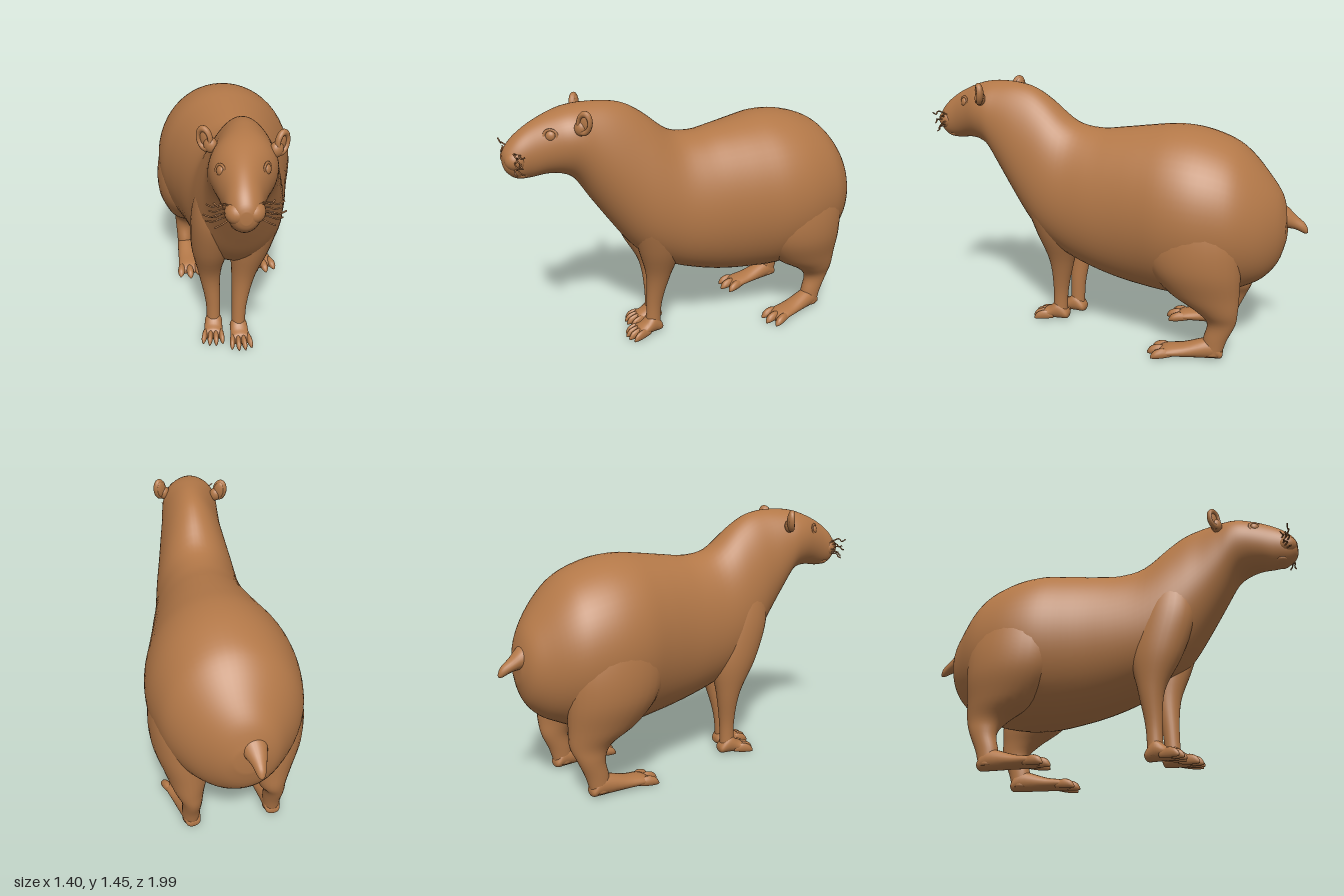
import * as THREE from 'three';

const fur = new THREE.MeshStandardMaterial({ color: 0xb37848 });
fur.name = 'brown fur';

// Smoothly resample a short table of rows
function resample(rows, steps) {
  const out = [], n = rows.length - 1;
  for (let i = 0; i <= n * steps; i++) {
    const k = Math.min(Math.floor(i / steps), n - 1), t = i / steps - k;
    const [a, b, c, d] = [k - 1, k, k + 1, k + 2].map(j => rows[Math.min(Math.max(j, 0), n)]);
    out.push(b.map((_, m) => {
      const s0 = (c[m] - a[m]) / 2, s1 = (d[m] - b[m]) / 2;
      return b[m] + s0 * t + (3 * (c[m] - b[m]) - 2 * s0 - s1) * t * t
        + (2 * (b[m] - c[m]) + s0 + s1) * t * t * t;
    }));
  }
  return out;
}

// Skin closed rings: ringPoint(row, cos, sin) gives [x, y, z]
function loft(rows, steps, sides, ringPoint) {
  const pos = [], idx = [], rings = resample(rows, steps);
  for (const r of rings) for (let j = 0; j < sides; j++) {
    const a = j / sides * Math.PI * 2;
    pos.push(...ringPoint(r, Math.cos(a), Math.sin(a)));
  }
  for (let i = 0; i < rings.length - 1; i++) for (let j = 0; j < sides; j++) {
    const a = i * sides + j, b = i * sides + (j + 1) % sides;
    idx.push(a, b, a + sides, b, b + sides, a + sides);
  }
  const last = (rings.length - 1) * sides, c = pos.length / 3;
  pos.push(...ringPoint(rings[0], 0, 0), ...ringPoint(rings[rings.length - 1], 0, 0));
  for (let j = 0; j < sides; j++) {
    const k = (j + 1) % sides;
    idx.push(c, k, j, c + 1, last + j, last + k);
  }
  const g = new THREE.BufferGeometry();
  g.setAttribute('position', new THREE.Float32BufferAttribute(pos, 3));
  g.setIndex(idx);
  g.computeVertexNormals();
  return g;
}

// Rows [z, top, bottom, xMin, xMax, lower fullness] stacked from back to front
const lengthwise = (rows, steps = 4, sides = 40) => loft(rows, steps, sides, (r, c, s) =>
  [(r[3] + r[4]) / 2 + c * (1 - (r[5] || 0) * s) * (r[4] - r[3]) / 2,
    (r[1] + r[2]) / 2 + s * (r[1] - r[2]) / 2, r[0]]);
// Rows [y, x, z, radiusX, radiusZ] stacked from the ground up
const upright = rows => loft(rows, 5, 28, (r, c, s) => [r[1] + c * r[3], r[0], r[2] - s * r[4]]);

function add(parent, name, geometry) {
  const m = new THREE.Mesh(geometry, fur);
  m.name = name;
  parent.add(m);
  return m;
}

function addBlob(parent, name, p, r) {
  const m = add(parent, name, new THREE.SphereGeometry(1, 24, 16));
  m.position.set(...p);
  m.scale.set(...r);
  return m;
}

// Flat foot with a row of blunt toes, pointing along +z
function addFoot(parent, name, x, z, turn, len, half, toes) {
  const foot = new THREE.Group();
  foot.name = name;
  foot.position.set(x, 0, z);
  foot.rotation.y = turn;
  parent.add(foot);
  add(foot, 'sole', lengthwise([
    [-0.062, 0.05, 0.03, -0.02, 0.02], [-0.05, 0.075, 0.012, -0.04, 0.04],
    [0, 0.13, 0.008, -0.05, 0.05], [len * 0.45, 0.085, 0.008, -half * 0.88, half * 0.88],
    [len * 0.75, 0.066, 0.008, -half, half], [len * 0.88, 0.035, 0.012, -half * 0.8, half * 0.8]], 4, 24));
  for (let i = 0; i < toes; i++) {
    const t = i / (toes - 1) * 2 - 1, w = half / toes * 0.98;
    const toe = add(foot, 'toe', lengthwise([
      [-0.05, 0.05, 0.015, -w * 0.7, w * 0.7], [0, 0.064, 0.006, -w, w],
      [0.035, 0.056, 0.004, -w, w], [0.055, 0.042, 0.004, -w * 0.75, w * 0.75],
      [0.068, 0.02, 0.006, -w * 0.25, w * 0.25]], 3, 12));
    toe.position.set(t * half * 0.75, 0, len * 0.84 - Math.abs(t) * 0.022);
    toe.rotation.y = t * 0.18;
  }
}

export function createModel() {
  const model = new THREE.Group();
  model.name = 'animal';
  // The animal stands diagonally across the frame
  const body = new THREE.Group();
  body.name = 'body';
  body.rotation.y = -Math.PI / 6;
  model.add(body);

  // Trunk, neck and head in one skin
  add(body, 'torsoAndHead', lengthwise([
    [-1.01, 0.79, 0.65, -0.09, 0.04, 0], [-0.975, 0.91, 0.53, -0.18, 0.13, 0],
    [-0.9, 1.02, 0.44, -0.255, 0.24, 0], [-0.8, 1.13, 0.385, -0.335, 0.33, 0],
    [-0.7, 1.2, 0.345, -0.378, 0.378, 0], [-0.55, 1.25, 0.315, -0.4, 0.412, 0],
    [-0.4, 1.265, 0.31, -0.388, 0.41, 0], [-0.25, 1.25, 0.325, -0.342, 0.378, 0],
    [-0.1, 1.23, 0.35, -0.3, 0.345, 0.02], [0.05, 1.215, 0.39, -0.27, 0.315, 0.06],
    [0.2, 1.245, 0.445, -0.245, 0.28, 0.12], [0.35, 1.36, 0.53, -0.222, 0.25, 0.18],
    [0.45, 1.42, 0.63, -0.202, 0.225, 0.17], [0.55, 1.445, 0.77, -0.182, 0.2, 0.1],
    [0.65, 1.45, 0.92, -0.175, 0.175, 0], [0.73, 1.445, 1.045, -0.175, 0.16, -0.04],
    [0.8, 1.43, 1.09, -0.168, 0.14, -0.03], [0.88, 1.4, 1.1, -0.148, 0.1, 0],
    [0.96, 1.36, 1.09, -0.128, 0.065, 0], [1.03, 1.31, 1.095, -0.115, 0.045, 0],
    [1.075, 1.26, 1.13, -0.09, 0.02, 0], [1.09, 1.225, 1.165, -0.06, -0.01, 0]], 4, 56));

  // Short drooping tail
  add(body, 'tail', lengthwise([
    [-1.118, 0.715, 0.698, -0.075, -0.06], [-1.1, 0.75, 0.695, -0.09, -0.045],
    [-1.05, 0.79, 0.715, -0.105, -0.025], [-0.99, 0.845, 0.72, -0.12, 0.01],
    [-0.92, 0.87, 0.7, -0.13, 0.03]], 4, 20));

  // Front legs widening into the shoulders
  add(body, 'leftFrontLeg', upright([
    [0.03, 0.02, 0.315, 0.04, 0.045], [0.2, 0.025, 0.305, 0.042, 0.046],
    [0.4, 0.05, 0.285, 0.068, 0.075], [0.6, 0.09, 0.285, 0.112, 0.135],
    [0.82, 0.13, 0.31, 0.12, 0.165], [1.0, 0.13, 0.33, 0.09, 0.13], [1.1, 0.12, 0.33, 0.04, 0.06]]));
  add(body, 'rightFrontLeg', upright([
    [0.03, -0.12, 0.255, 0.04, 0.045], [0.2, -0.122, 0.25, 0.042, 0.046],
    [0.4, -0.14, 0.245, 0.064, 0.075], [0.6, -0.137, 0.28, 0.105, 0.145],
    [0.82, -0.13, 0.335, 0.112, 0.165], [1.0, -0.12, 0.36, 0.085, 0.13], [1.1, -0.11, 0.36, 0.04, 0.06]]));
  addFoot(body, 'leftFrontFoot', 0.02, 0.32, 0.05, 0.12, 0.06, 4);
  addFoot(body, 'rightFrontFoot', -0.12, 0.26, -0.1, 0.12, 0.06, 4);

  // Hind legs with heavy thighs and hocks set back
  for (const [name, s, ankleX, ankleZ] of [['left', 1, 0.213, -0.675], ['right', -1, -0.245, -0.655]]) {
    add(body, name + 'HindLeg', upright([
      [0.03, ankleX, ankleZ, 0.046, 0.055], [0.12, ankleX, ankleZ - 0.015, 0.05, 0.065],
      [0.22, ankleX, ankleZ - 0.045, 0.057, 0.078], [0.3, s * 0.225, -0.69, 0.085, 0.12],
      [0.4, s * 0.23, -0.615, 0.125, 0.2], [0.55, s * 0.248, -0.56, 0.158, 0.258],
      [0.72, s * 0.252, -0.54, 0.157, 0.268], [0.9, s * 0.24, -0.53, 0.128, 0.225],
      [1.03, s * 0.22, -0.53, 0.05, 0.1]]));
    addFoot(body, name + 'HindFoot', ankleX, ankleZ, s > 0 ? 0.18 : 0.06, 0.345, 0.068, 3);
  }

  // Ears: cupped disc with a rolled rim
  for (const [name, s, x, y, z] of [['left', 1, 0.172, 1.39, 0.725], ['right', -1, -0.183, 1.392, 0.65]]) {
    const ear = new THREE.Group();
    ear.name = name + 'Ear';
    ear.position.set(x, y, z);
    ear.rotation.set(0, s * 0.65, -s * 0.2);
    body.add(ear);
    addBlob(ear, 'earDisc', [0, 0, -0.01], [0.034, 0.054, 0.018]);
    const rim = add(ear, 'earRim', new THREE.TorusGeometry(0.036, 0.012, 10, 28));
    rim.scale.set(0.9, 1.35, 1.4);
    addBlob(ear, 'earBase', [-s * 0.02, -0.035, -0.01], [0.035, 0.04, 0.03]);
  }

  // Eyes with lids
  for (const [name, s, x] of [['left', 1, 0.084], ['right', -1, -0.128]]) {
    const eye = new THREE.Group();
    eye.name = name + 'Eye';
    eye.position.set(x, 1.325, 0.872);
    eye.rotation.set(-0.25, s, 0);
    body.add(eye);
    addBlob(eye, 'eyeball', [0, 0, 0], [0.025, 0.025, 0.015]);
    const lid = add(eye, 'eyelid', new THREE.TorusGeometry(0.03, 0.007, 8, 24));
    lid.scale.set(1.1, 1, 0.8);
  }

  // Muzzle: cheek pads and lower lip
  for (const s of [1, -1])
    addBlob(body, 'muzzlePad', [-0.035 + s * 0.037, 1.2, 1.03], [0.055, 0.055, 0.06]);
  addBlob(body, 'lowerLip', [-0.035, 1.12, 0.998], [0.06, 0.028, 0.05]);

  // Wavy whiskers
  for (const s of [1, -1]) for (let i = 0; i < 7; i++) {
    const y = 1.165 + i * 0.012, x = -0.037 + s * 0.07, reach = 0.065 + (i * 3 % 5) * 0.012;
    const z = 1.035 - (i % 3) * 0.015, lift = (i - 3) * 0.004;
    const path = new THREE.CatmullRomCurve3([
      new THREE.Vector3(x, y, z), new THREE.Vector3(x + s * reach * 0.4, y + lift + 0.008, z + 0.025),
      new THREE.Vector3(x + s * reach * 0.7, y + lift - 0.006, z + 0.02),
      new THREE.Vector3(x + s * reach, y + lift * 2, z + 0.025 - (i % 2) * 0.02)]);
    add(body, 'whisker', new THREE.TubeGeometry(path, 10, 0.004, 6));
  }
  return model;
}
